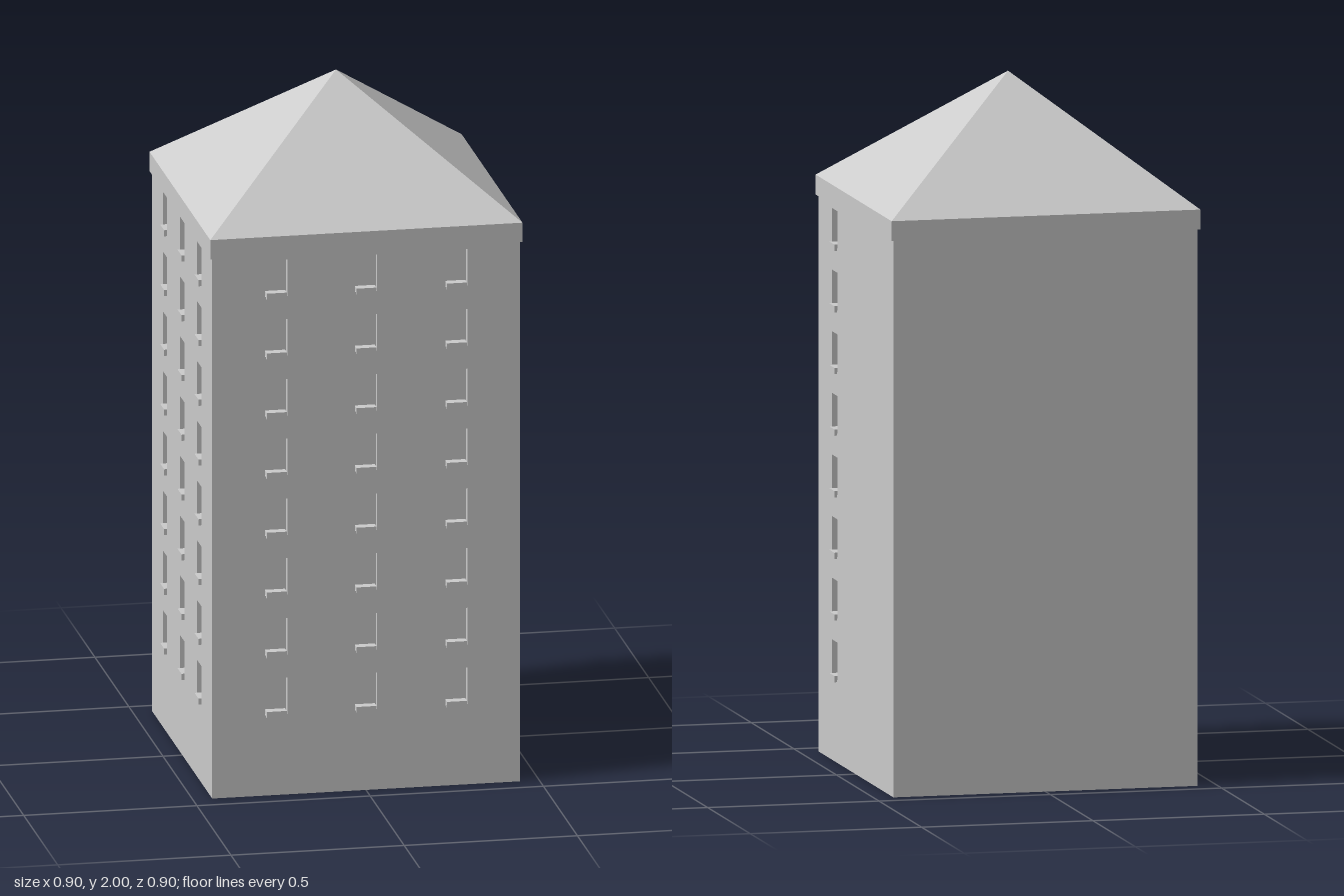
import * as THREE from 'three';

const HX = 0.444, HZ = 0.4415;      // half width and half depth of the body
const WALL_TOP = 1.6, FLOORS = 8, FLOOR_STEP = 0.1766;
const WIN_W = 0.064, WIN_H = 0.108, WIN_Y = 0.237, RECESS = 0.02;

const grey = new THREE.MeshStandardMaterial({ color: 0xcccccc, flatShading: true });
const greyDouble = new THREE.MeshStandardMaterial({ color: 0xcccccc, flatShading: true, side: THREE.DoubleSide });

function add(parent, name, geometry, material = grey) {
  const mesh = new THREE.Mesh(geometry, material);
  mesh.name = name;
  parent.add(mesh);
  return mesh;
}

function rectangle(PathType, x0, y0, x1, y1) {
  return new PathType([[x0, y0], [x1, y0], [x1, y1], [x0, y1]].map(([x, y]) => new THREE.Vector2(x, y)));
}

// Open-fronted box lining a window recess (front face left out)
function nicheGeometry() {
  const g = new THREE.BoxGeometry(WIN_W, WIN_H, RECESS);
  const index = Array.from(g.index.array);
  index.splice(24, 6);
  g.setIndex(index);
  return g;
}

// One facade facing +z, with a column of recessed windows at each given x
function makeWall(name, half, columns) {
  const wall = new THREE.Group();
  wall.name = name;
  const shape = rectangle(THREE.Shape, -half, 0, half, WALL_TOP);
  const niche = nicheGeometry();
  const sill = new THREE.BoxGeometry(0.058, 0.018, 0.008 + RECESS);
  for (const x of columns) {
    for (let i = 0; i < FLOORS; i++) {
      const y = WIN_Y + i * FLOOR_STEP;
      shape.holes.push(rectangle(THREE.Path, x - WIN_W / 2, y, x + WIN_W / 2, y + WIN_H));
      add(wall, 'windowRecess', niche, greyDouble).position.set(x, y + WIN_H / 2, -RECESS / 2);
      add(wall, 'windowSill', sill).position.set(x, y + 0.003, 0.004 - RECESS / 2);
    }
  }
  add(wall, 'wallSurface', new THREE.ShapeGeometry(shape));
  return wall;
}

export function createModel() {
  const tower = new THREE.Group();
  tower.name = 'tower';

  // Four walls: three window columns on front and right, one on the left, blank back
  const front = makeWall('frontWall', HX, [-0.259, 0, 0.261]);
  front.position.z = HZ;
  const back = makeWall('backWall', HX, []);
  back.position.z = -HZ;
  back.rotation.y = Math.PI;
  const left = makeWall('leftWall', HZ, [-0.249]);
  left.position.x = HX;
  left.rotation.y = Math.PI / 2;
  const right = makeWall('rightWall', HZ, [-0.253, 0.002, 0.252]);
  right.position.x = -HX;
  right.rotation.y = -Math.PI / 2;
  tower.add(front, back, left, right);

  // Underside
  add(tower, 'base', new THREE.PlaneGeometry(2 * HX, 2 * HZ).rotateX(Math.PI / 2));

  // Pyramid roof with its eave band, as a four-sided lathe
  const r = Math.SQRT2;
  const profile = [[0, 1.595], [r, 1.595], [r, 1.652], [0, 2]].map(([x, y]) => new THREE.Vector2(x, y));
  const roof = new THREE.LatheGeometry(profile, 4).rotateY(Math.PI / 4).scale(0.4505, 1, 0.447);
  add(tower, 'roof', roof);

  tower.position.z = -0.0025;
  const model = new THREE.Group();
  model.name = 'towerBlock';
  model.add(tower);
  return model;
}
